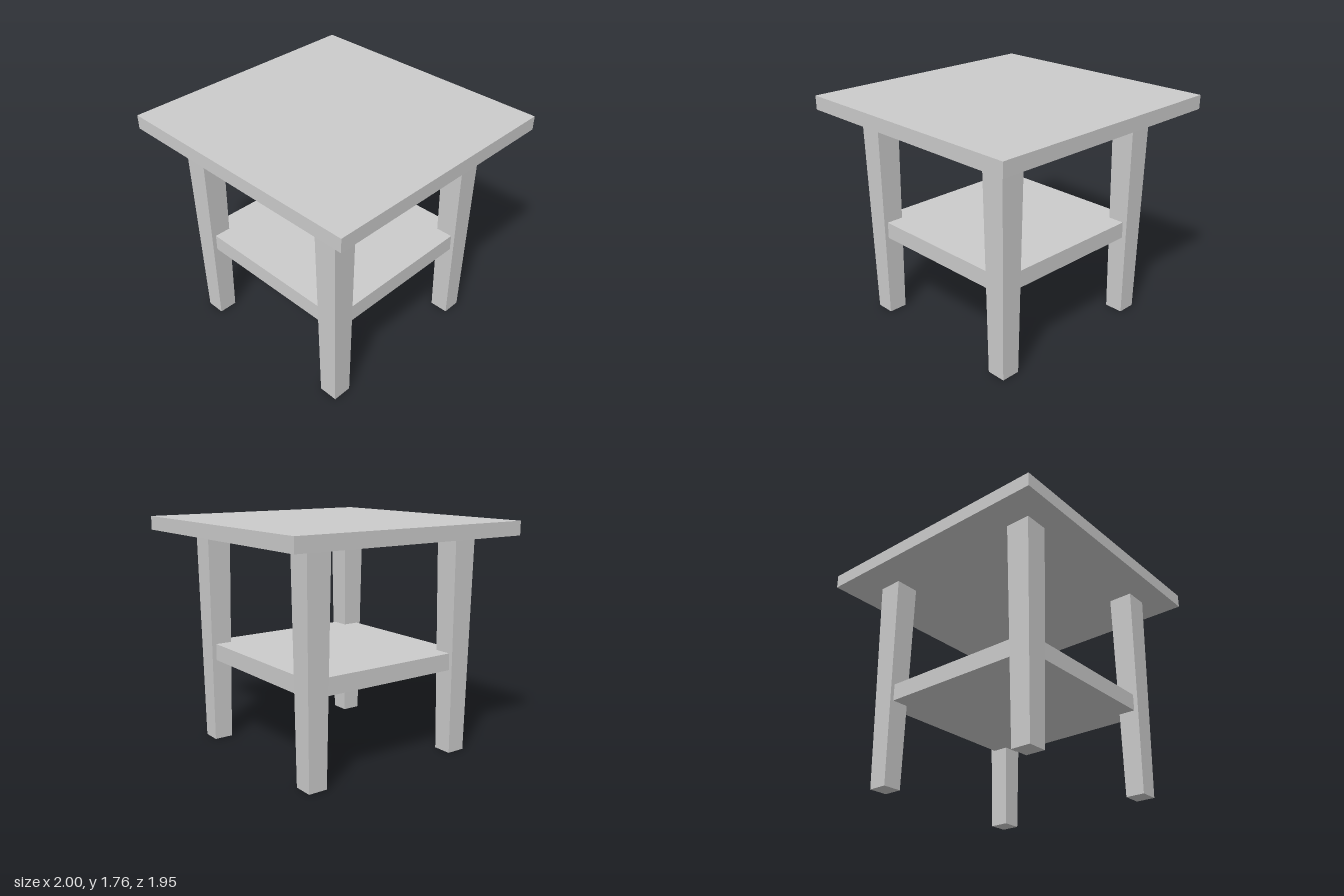
import * as THREE from 'three';

const material = new THREE.MeshStandardMaterial({ color: 0xcccccc, flatShading: true });

// Box spanning two opposite corners
function slab(name, min, max) {
  const size = max.map((v, i) => v - min[i]);
  const mesh = new THREE.Mesh(new THREE.BoxGeometry(...size), material);
  mesh.name = name;
  mesh.position.set(...max.map((v, i) => (v + min[i]) / 2));
  return mesh;
}

// Square post, wider at the top than at the foot
function taperedLeg(name, x, z) {
  const height = 1.657, top = 0.188, foot = 0.147;
  const geometry = new THREE.BoxGeometry(top, height, top);
  const p = geometry.attributes.position;
  for (let i = 0; i < p.count; i++) {
    if (p.getY(i) < 0) {
      p.setX(i, p.getX(i) * foot / top);
      p.setZ(i, p.getZ(i) * foot / top);
    }
  }
  geometry.computeVertexNormals();
  const mesh = new THREE.Mesh(geometry, material);
  mesh.name = name;
  mesh.position.set(x, height / 2, z);
  return mesh;
}

export function createModel() {
  const table = new THREE.Group();
  table.name = 'sideTable';

  table.add(slab('tableTop', [-1, 1.657, -0.973], [1, 1.762, 0.973]));

  // Lower shelf, its corners let into the legs
  table.add(slab('shelf', [-0.71, 0.652, -0.667], [0.71, 0.781, 0.724]));

  // Legs: the front pair sits slightly closer to the table edge
  for (const [side, x] of [['Left', 0.658], ['Right', -0.658]]) {
    table.add(taperedLeg(`front${side}Leg`, x, 0.676));
    table.add(taperedLeg(`back${side}Leg`, x, -0.62));
  }
  return table;
}
